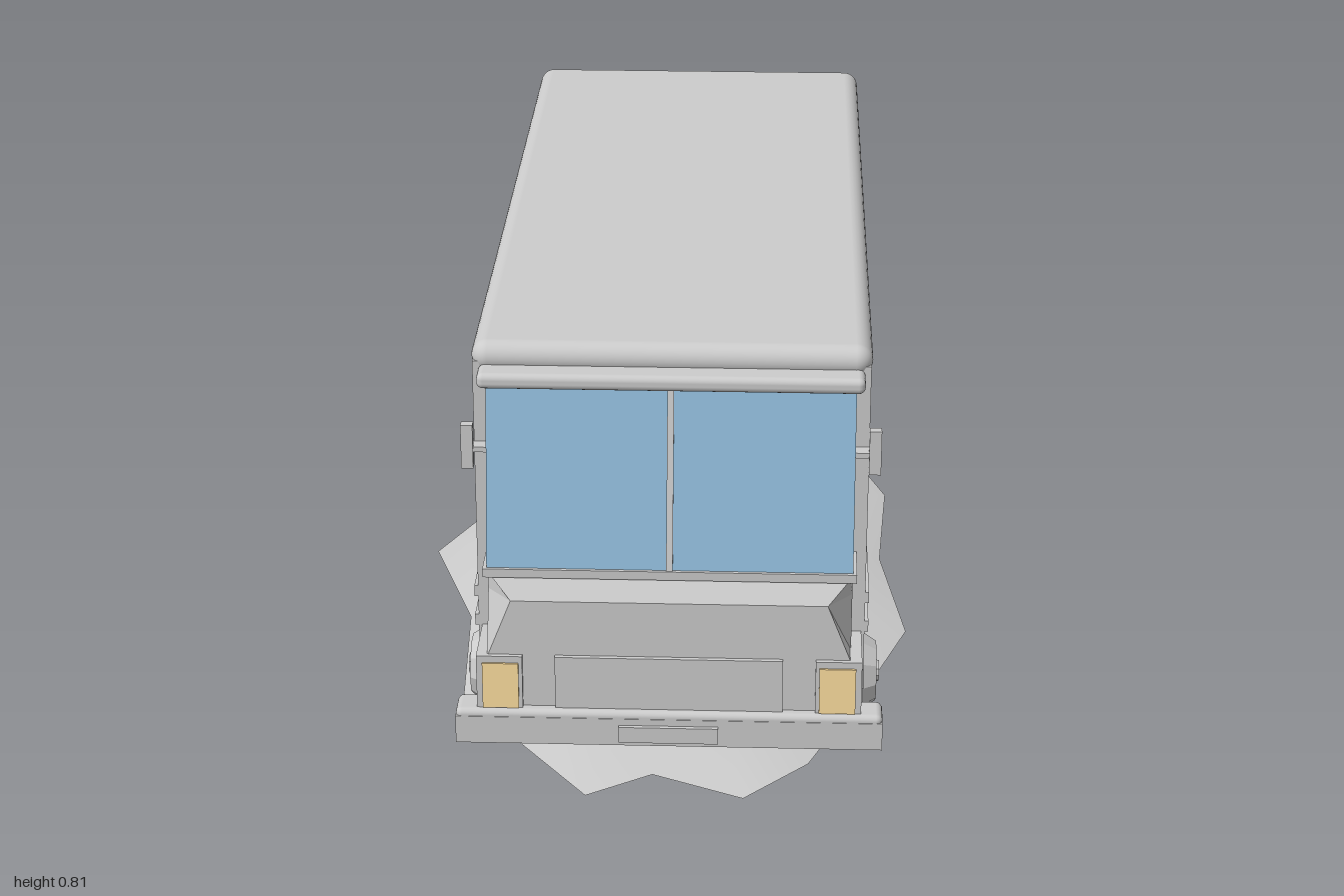
import * as THREE from 'three';
import { RoundedBoxGeometry } from 'three/addons/geometries/RoundedBoxGeometry.js';

const grey = new THREE.MeshStandardMaterial({ color: 0xcccccc, flatShading: true });
const smoothGrey = new THREE.MeshStandardMaterial({ color: 0xcccccc });
const groundGrey = new THREE.MeshStandardMaterial({ color: 0xcccccc, side: THREE.DoubleSide });
const glass = new THREE.MeshStandardMaterial({ color: 0x90bbd9, flatShading: true });
const lamp = new THREE.MeshStandardMaterial({ color: 0xffe0a0, flatShading: true });

function add(parent, name, geometry, material = grey) {
  const mesh = new THREE.Mesh(geometry, material);
  mesh.name = name;
  parent.add(mesh);
  return mesh;
}

// Box given by its limits on each axis
function box(parent, name, [x0, x1], [y0, y1], [z0, z1], material = grey) {
  const g = new THREE.BoxGeometry(x1 - x0, y1 - y0, z1 - z0);
  g.translate((x0 + x1) / 2, (y0 + y1) / 2, (z0 + z1) / 2);
  return add(parent, name, g, material);
}

// Range of x on one side of the bus
const span = (s, a, b) => (s > 0 ? [a, b] : [-b, -a]);

const rect = (S, a0, a1, b0, b1) => new S([[a0, b0], [a1, b0], [a1, b1], [a0, b1]]
  .map(([a, b]) => new THREE.Vector2(a, b)));

// Flat wall with rectangular openings, extruded by a thickness
function wall(outer, openings, depth) {
  const shape = rect(THREE.Shape, ...outer);
  for (const o of openings) shape.holes.push(rect(THREE.Path, ...o));
  return new THREE.ExtrudeGeometry(shape, { depth, bevelEnabled: false });
}

// Surface through equal-length rings, counter-clockwise from above and rising
function loft(rings, capped) {
  const n = rings[0].length, idx = [], top = (rings.length - 1) * n;
  for (let r = 0; r < rings.length - 1; r++) {
    for (let i = 0; i < n; i++) {
      const a = r * n + i, b = r * n + (i + 1) % n;
      idx.push(a, b, a + n, b, b + n, a + n);
    }
  }
  for (let i = 1; capped && i < n - 1; i++) idx.push(0, i + 1, i, top, top + i, top + i + 1);
  const g = new THREE.BufferGeometry();
  g.setAttribute('position', new THREE.Float32BufferAttribute(rings.flat(2), 3));
  g.setIndex(idx);
  g.computeVertexNormals();
  return g;
}

function buildBody(bus) {
  box(bus, 'bodyCore', [-0.342, 0.342], [0.06, 0.77], [-0.897, 0.78]);
  const windows = [];
  for (let i = 0; i < 6; i++) windows.push([-0.74 + i * 0.275, -0.505 + i * 0.275, 0.38, 0.75]);

  for (const s of [-1, 1]) {
    // Side wall, its shape axis runs from front to back
    const side = add(bus, 'sideWall', wall([-0.78, 0.91, 0.06, 0.77], windows, 0.02));
    side.rotation.y = Math.PI / 2;
    side.position.x = s > 0 ? 0.341 : -0.361;
    for (const [a, b, c, d] of windows) {
      box(bus, 'sideWindow', span(s, 0.335, 0.347), [c, d], [-b, -a], glass);
    }
    for (const y of [0.245, 0.305]) {
      box(bus, 'trimStrip', span(s, 0.355, 0.368), [y - 0.011, y + 0.011], [-0.91, 0.78]);
    }
    box(bus, 'tailLight', span(s, 0.287, 0.353), [0.108, 0.145], [-0.922, -0.9], lamp);
  }

  // Rear wall, window and bumper
  const rear = add(bus, 'rearWall', wall([-0.342, 0.342, 0.06, 0.77], [[-0.32, 0.32, 0.4, 0.745]], 0.015));
  rear.position.z = -0.91;
  box(bus, 'rearWindow', [-0.32, 0.32], [0.4, 0.745], [-0.901, -0.89], glass);
  box(bus, 'rearBumper', [-0.368, 0.368], [0.06, 0.1], [-0.933, -0.9]);

  // Roof, its lower rounding sinks into the walls
  const roof = add(bus, 'roof', new RoundedBoxGeometry(0.728, 0.06, 1.7, 4, 0.03), smoothGrey);
  roof.position.set(0, 0.775, -0.064);
}

function buildFront(bus) {
  // Hood with chamfered top and corners: [y, half width at front, front z]
  const levels = [[0.08, 0.335, 0.897], [0.23, 0.335, 0.897], [0.345, 0.29, 0.897], [0.385, 0.33, 0.868]];
  add(bus, 'hood', loft(levels.map(([y, h, z]) => [
    [-0.335, y, 0.845], [-h, y, z], [h, y, z], [0.335, y, 0.845], [0.335, y, 0.77], [-0.335, y, 0.77],
  ]), true));
  box(bus, 'grillePanel', [-0.21, 0.21], [0.13, 0.235], [0.88, 0.906]);
  box(bus, 'windshieldSill', [-0.342, 0.342], [0.383, 0.4], [0.77, 0.878]);

  // Sloped windshield with side panes and a centre bar
  const slab = (h) => loft([[0.398, 0.872], [0.74, 0.802]].map(([y, z]) =>
    [[-h, y, z], [h, y, z], [h, y, 0.77], [-h, y, 0.77]]), true);
  add(bus, 'windshield', slab(0.335), glass);
  add(bus, 'windshieldMullion', slab(0.006)).position.z = 0.004;
  const visor = add(bus, 'visor', new RoundedBoxGeometry(0.7, 0.03, 0.06, 3, 0.012), smoothGrey);
  visor.position.set(0, 0.75, 0.802);

  // Bumper and blank plate
  box(bus, 'frontBumper', [-0.395, 0.395], [0.06, 0.115], [0.85, 0.918]);
  add(bus, 'bumperTop', new RoundedBoxGeometry(0.79, 0.03, 0.066, 2, 0.012), smoothGrey)
    .position.set(0, 0.114, 0.884);
  box(bus, 'blankPlate', [-0.092, 0.092], [0.07, 0.102], [0.9, 0.926]);

  // Headlights in corner housings, mirrors on arms
  for (const s of [-1, 1]) {
    box(bus, 'headlightHousing', span(s, 0.27, 0.355), [0.07, 0.235], [0.77, 0.906]);
    box(bus, 'headlight', span(s, 0.277, 0.344), [0.13, 0.222], [0.89, 0.91], lamp);
    box(bus, 'mirror', span(s, 0.36, 0.382), [0.572, 0.658], [0.797, 0.815]);
    box(bus, 'mirrorArm', span(s, 0.33, 0.37), [0.602, 0.612], [0.77, 0.808]);
  }
}

function buildWheels(bus) {
  // Tyre, rim recess and hub in one lathed profile: [radius, distance outward]
  const profile = [[0, -0.095], [0.058, -0.095], [0.074, -0.08], [0.074, -0.025], [0.058, 0],
    [0.044, 0], [0.038, -0.012], [0.024, -0.012], [0.02, 0.006], [0, 0.006]];
  const geometry = new THREE.LatheGeometry(profile.map(([r, y]) => new THREE.Vector2(r, y)), 10);
  for (const [name, z, outer] of [['frontWheel', 0.65, 0.389], ['rearWheel', -0.65, 0.368]]) {
    for (const s of [-1, 1]) {
      const wheel = add(bus, name, geometry);
      wheel.rotation.z = -s * Math.PI / 2;
      wheel.position.set(s * outer, 0.082, z);
    }
    const axle = add(bus, 'axle', new THREE.CylinderGeometry(0.015, 0.015, 0.64, 8));
    axle.rotation.z = Math.PI / 2;
    axle.position.set(0, 0.075, z);
  }
}

function buildMound(group) {
  // Ragged low mound: rim points [x, z] run around from the left side
  const rim = [[0.445, 0], [0.49, 0.33], [0.4, 0.59], [0.29, 0.87], [0.17, 1], [0, 0.92], [-0.12, 1],
    [-0.25, 0.82], [-0.38, 0.65], [-0.4, 0.3], [-0.5, 0], [-0.37, -0.29], [-0.32, -0.52], [-0.26, -0.75],
    [-0.13, -0.88], [0.02, -0.88], [0.17, -1], [0.28, -0.87], [0.395, -0.53], [0.465, -0.32]].reverse();
  const rings = [[1, 0], [0.85, 0.022], [0.65, 0.043], [0.4, 0.058], [0.2, 0.066], [0, 0.07]];
  const mound = loft(rings.map(([k, y]) => rim.map(([x, z]) => [x * k, y, z * k])), false);
  add(group, 'groundMound', mound, groundGrey);
}

export function createModel() {
  const group = new THREE.Group();
  group.name = 'busOnMound';
  const bus = new THREE.Group();
  bus.name = 'bus';
  bus.position.x = 0.03;
  buildBody(bus);
  buildFront(bus);
  buildWheels(bus);
  group.add(bus);
  buildMound(group);
  return group;
}
